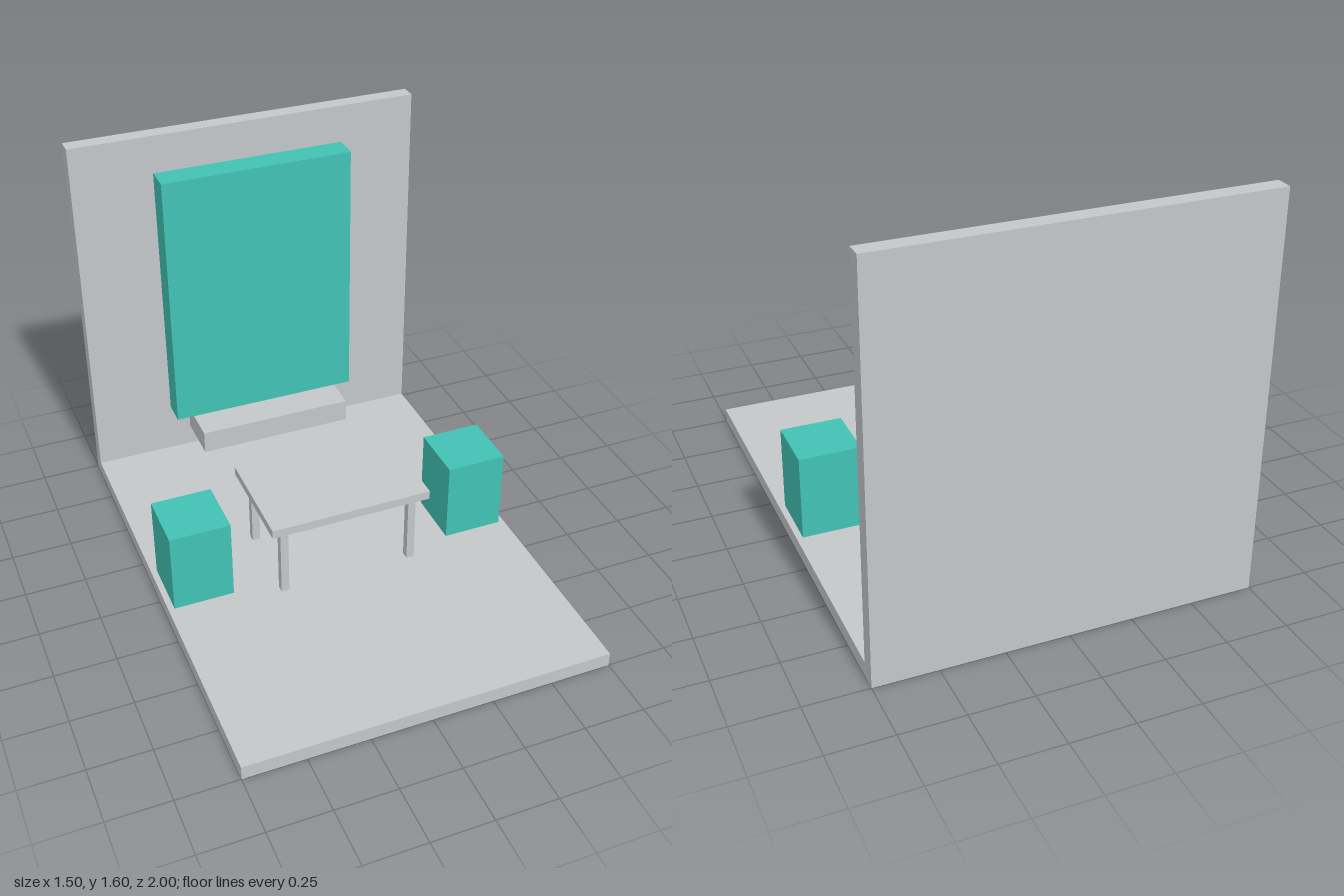
import * as THREE from 'three';

export function createModel() {
  const model = new THREE.Group();
  model.name = 'roomDisplay';

  const grey = new THREE.MeshStandardMaterial({ color: 0xc4c7c9 });
  grey.name = 'light grey';
  const teal = new THREE.MeshStandardMaterial({ color: 0x42c2b4 });
  teal.name = 'teal';

  // Box given by its extents along each axis
  function block(parent, name, material, [x0, x1], [y0, y1], [z0, z1]) {
    const mesh = new THREE.Mesh(new THREE.BoxGeometry(x1 - x0, y1 - y0, z1 - z0), material);
    mesh.position.set((x0 + x1) / 2, (y0 + y1) / 2, (z0 + z1) / 2);
    mesh.name = name;
    parent.add(mesh);
  }

  // Floor slab and back wall
  const floorTop = 0.06;
  block(model, 'floor', grey, [-0.75, 0.75], [0, floorTop], [-1, 1]);
  block(model, 'backWall', grey, [-0.75, 0.75], [floorTop, 1.6], [-1, -0.933]);

  // Wall panel with the shelf below it
  block(model, 'wallPanel', teal, [-0.4125, 0.4125], [0.3, 1.45], [-0.905, -0.795]);
  block(model, 'shelf', grey, [-0.3375, 0.3375], [0.2, 0.3], [-0.87, -0.65]);

  // Table
  const table = new THREE.Group();
  table.name = 'table';
  model.add(table);
  block(table, 'tableTop', grey, [-0.3375, 0.3375], [0.375, 0.4125], [-0.225, 0.225]);
  const legHalf = 0.0165;
  for (const x of [-0.277, 0.277]) {
    for (const z of [-0.174, 0.174]) {
      block(table, 'tableLeg', grey, [x - legHalf, x + legHalf], [floorTop, 0.375], [z - legHalf, z + legHalf]);
    }
  }

  // Stools at either side of the table
  for (const [name, x] of [['rightStool', -0.6], ['leftStool', 0.6]]) {
    block(model, name, teal, [x - 0.125, x + 0.125], [floorTop, 0.41], [-0.125, 0.125]);
  }

  return model;
}
